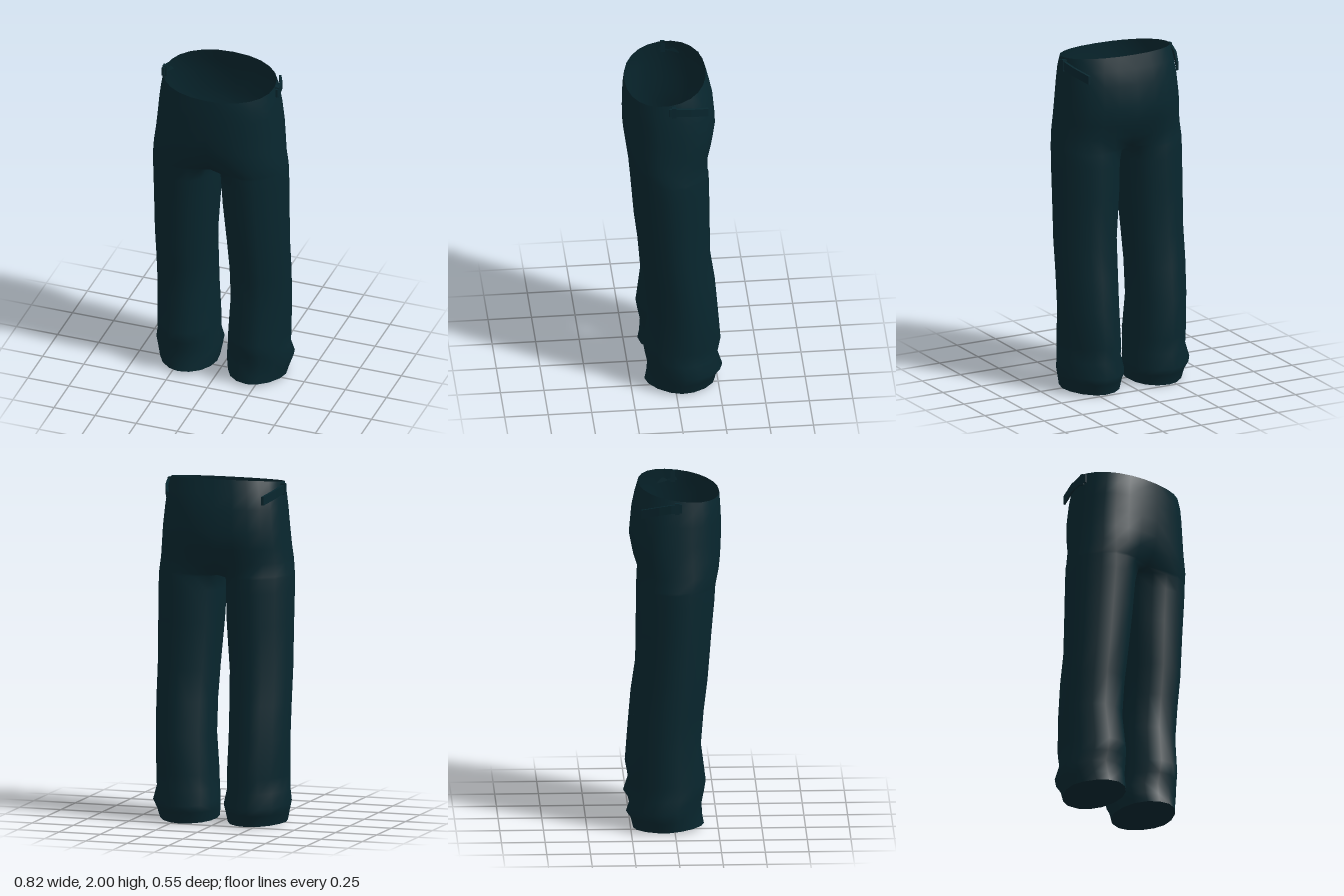
import * as THREE from 'three';
import { mergeGeometries, mergeVertices } from 'three/addons/utils/BufferGeometryUtils.js';

const cloth = new THREE.MeshStandardMaterial({ color: 0x08262e, side: THREE.DoubleSide });
cloth.name = 'dark teal cloth';

const OUTER = 12; // steps round the outside of one half
const RING = 16; // steps round a whole leg

// y, tilt towards the front, inner x, outer x, front z, back z, blend from leg to hips
const LEVELS = [
  [0.0125, 0.053, 0.04, 0.378, 0.17, -0.235, 0],
  [0.07, 0.03, 0.03, 0.394, 0.16, -0.25, 0],
  [0.13, 0.1, 0.025, 0.412, 0.155, -0.277, 0],
  [0.2, 0.05, 0.037, 0.396, 0.168, -0.25, 0],
  [0.28, 0, 0.04, 0.396, 0.18, -0.267, 0],
  [0.5, 0, 0.05, 0.4, 0.152, -0.25, 0],
  [0.7, 0, 0.049, 0.402, 0.168, -0.233, 0],
  [0.88, 0, 0.042, 0.403, 0.19, -0.207, 0],
  [1.15, 0, 0.02, 0.404, 0.212, -0.204, 0],
  [1.34, 0, 0.012, 0.405, 0.229, -0.202, 0],
  [1.425, 0, 0.01, 0.402, 0.238, -0.202, 0.15],
  [1.44, 0, 0, 0.4, 0.243, -0.202, 0.3],
  [1.515, 0, 0, 0.388, 0.268, -0.212, 0.7],
  [1.6, 0, 0, 0.376, 0.274, -0.238, 0.93],
  [1.7, 0, 0, 0.366, 0.276, -0.252, 1],
  [1.82, -0.05, 0, 0.354, 0.274, -0.24, 1],
  [1.9, -0.09, 0, 0.343, 0.27, -0.221, 1],
  [1.974, -0.129, 0, 0.332, 0.265, -0.2, 1],
];
const CROTCH = 11; // level at which the two legs join

const soft = (v, e) => Math.sign(v) * Math.abs(v) ** e;

function sectionPoint([y, tilt, inner, outer, front, back, blend], k) {
  const cz = (front + back) / 2, rz = (front - back) / 2;
  const outside = k <= OUTER;
  // leg: a full loop, flatter across the outer corners than the inner ones
  const a = outside
    ? -Math.PI / 4 + (k / OUTER) * Math.PI * 1.5
    : Math.PI * 1.25 + ((k - OUTER) / (RING - OUTER)) * Math.PI / 2;
  const s = Math.sin(a), c = Math.cos(a);
  const legPower = s > 0 ? 1.15 : c > 0 ? 1 : 0.92;
  let x = (inner + outer) / 2 + ((outer - inner) / 2) * soft(s, legPower);
  let z = cz + rz * soft(c, legPower);
  // hips: half of a squarish loop centred on x = 0, rounder at the waist
  if (outside) {
    const h = (k / OUTER) * Math.PI;
    const hipPower = y > 1.95 ? 0.93 : 0.84;
    x = THREE.MathUtils.lerp(x, outer * soft(Math.sin(h), hipPower), blend);
    z = THREE.MathUtils.lerp(z, cz + rz * soft(Math.cos(h), hipPower), blend);
  }
  if (inner === 0 && (k === 0 || k >= OUTER)) x = 0;
  return [x, y + tilt * z, z];
}

function halfTrousers(side) {
  const pos = [], index = [];
  const face = (a, b, c) => index.push(...(side > 0 ? [a, b, c] : [a, c, b]));
  LEVELS.forEach((level, r) => {
    for (let k = 0; k < RING; k++) {
      const [x, y, z] = sectionPoint(level, k);
      pos.push(x * side, y, z);
    }
    if (r === 0) return;
    const steps = r <= CROTCH ? RING : OUTER;
    for (let k = 0; k < steps; k++) {
      const n = (k + 1) % RING, lo = (r - 1) * RING, hi = r * RING;
      face(lo + k, lo + n, hi + k);
      face(lo + n, hi + n, hi + k);
    }
  });
  const g = new THREE.BufferGeometry();
  g.setAttribute('position', new THREE.Float32BufferAttribute(pos, 3));
  g.setIndex(index);
  return g;
}

// flat end of a leg
function hemCap(side) {
  const pos = [0.209 * side, 0.0125 - 0.0325 * 0.053, -0.0325], index = [];
  for (let k = 0; k < RING; k++) {
    const [x, y, z] = sectionPoint(LEVELS[0], k);
    pos.push(x * side, y, z);
    const a = k + 1, b = ((k + 1) % RING) + 1;
    index.push(...(side > 0 ? [0, b, a] : [0, a, b]));
  }
  const g = new THREE.BufferGeometry();
  g.setAttribute('position', new THREE.Float32BufferAttribute(pos, 3));
  g.setIndex(index);
  g.computeVertexNormals();
  return g;
}

// strap swept along the waist with closed ends
function strapGeometry(side) {
  const path = [[0.346, 1.932, 0.04], [0.343, 1.928, -0.02], [0.328, 1.913, -0.09], [0.286, 1.885, -0.19]];
  const pos = [], index = [];
  path.forEach(([x, y, z], i) => {
    for (const [dx, dy] of [[0.007, -0.025], [0.007, 0.025], [-0.007, 0.025], [-0.007, -0.025]]) {
      pos.push((x + dx) * side, y + dy, z);
    }
    if (i === 0) return;
    for (let k = 0; k < 4; k++) {
      const n = (k + 1) % 4, lo = (i - 1) * 4, hi = i * 4;
      const quad = [lo + k, hi + k, lo + n, lo + n, hi + k, hi + n];
      index.push(...(side > 0 ? quad : quad.reverse()));
    }
  });
  const last = (path.length - 1) * 4;
  const ends = [0, 1, 2, 0, 2, 3, last, last + 2, last + 1, last, last + 3, last + 2];
  index.push(...(side > 0 ? ends : ends.reverse()));
  const g = new THREE.BufferGeometry();
  g.setAttribute('position', new THREE.Float32BufferAttribute(pos, 3));
  g.setIndex(index);
  const flat = g.toNonIndexed();
  flat.computeVertexNormals();
  return flat;
}

export function createModel() {
  const model = new THREE.Group();
  model.name = 'trousers';
  const add = (name, geometry) => {
    const mesh = new THREE.Mesh(geometry, cloth);
    mesh.name = name;
    model.add(mesh);
    return mesh;
  };

  // both halves welded along the middle seam
  const body = mergeVertices(mergeGeometries([halfTrousers(1), halfTrousers(-1)]), 1e-4);
  body.computeVertexNormals();
  add('legsAndHips', body);

  for (const side of [1, -1]) {
    const label = side > 0 ? 'left' : 'right';
    add(label + 'HemCap', hemCap(side));
    // waist adjuster: a strap running back and down from a small loop
    add(label + 'WaistStrap', strapGeometry(side));
    const loop = add(label + 'StrapLoop', new THREE.BoxGeometry(0.024, 0.066, 0.025));
    loop.position.set(0.342 * side, 1.93, 0.012);
  }
  return model;
}
